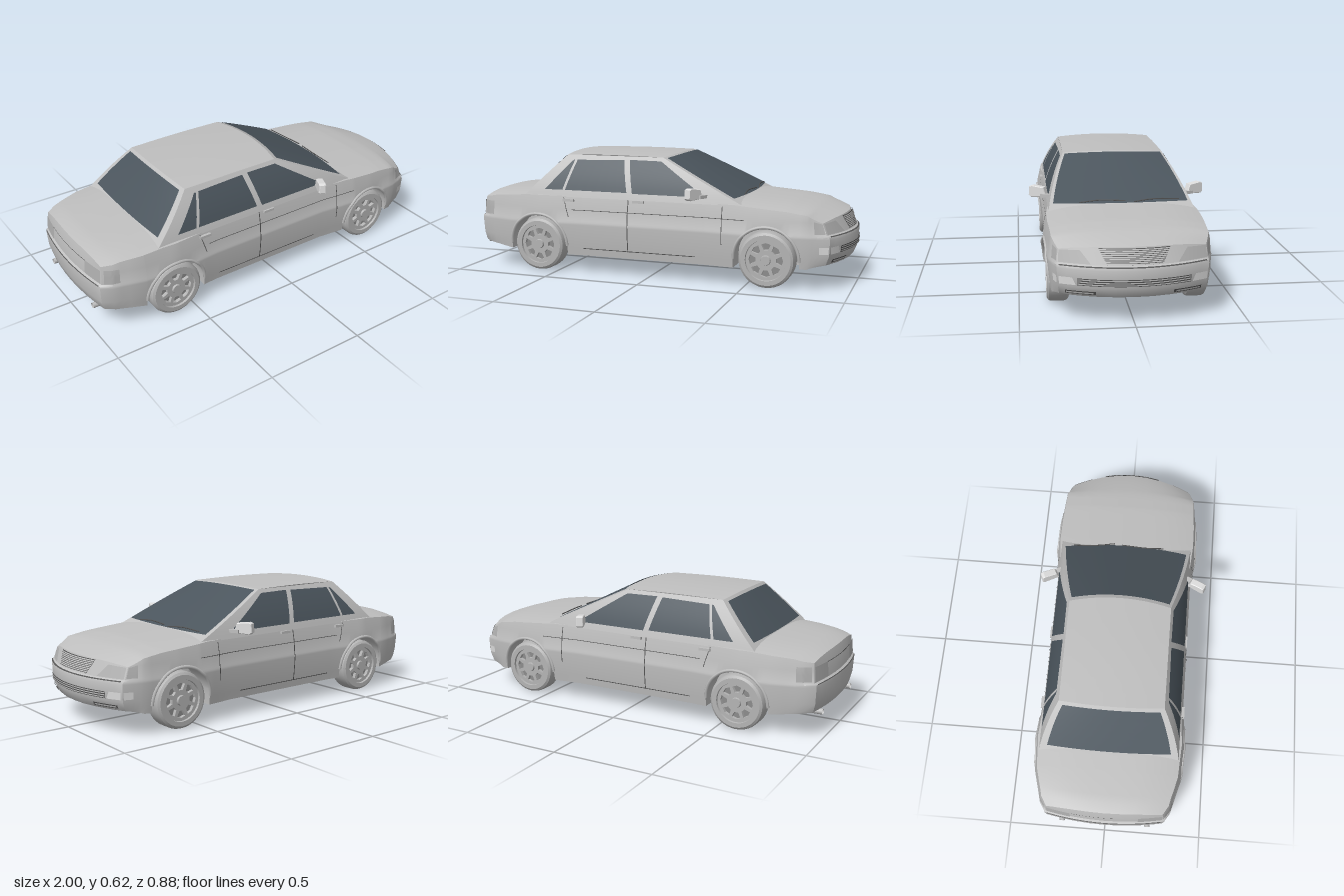
import * as THREE from 'three';
import { mergeGeometries, toCreasedNormals } from 'three/addons/utils/BufferGeometryUtils.js';

const mat = (name, color) => new THREE.MeshStandardMaterial({ name, color, side: THREE.DoubleSide });
const lerp = THREE.MathUtils.lerp, clamp = THREE.MathUtils.clamp;
const V = (x, y, z) => new THREE.Vector3(x, y, z);

// piecewise-linear lookup in [x, value] pairs
function look(tab, x) {
  if (x <= tab[0][0]) return tab[0][1];
  for (let i = 1; i < tab.length; i++) {
    const [x0, a] = tab[i - 1], [x1, b] = tab[i];
    if (x <= x1) return lerp(a, b, (x - x0) / (x1 - x0));
  }
  return tab[tab.length - 1][1];
}

// surface through a grid of points f(i, j)
function grid(nu, nv, f) {
  const pos = [], index = [];
  for (let i = 0; i <= nu; i++) for (let j = 0; j <= nv; j++) pos.push(...f(i, j).toArray());
  for (let i = 0; i < nu; i++) for (let j = 0; j < nv; j++) {
    const a = i * (nv + 1) + j, b = a + nv + 1;
    index.push(a, b, b + 1, a, b + 1, a + 1);
  }
  const g = new THREE.BufferGeometry();
  g.setAttribute('position', new THREE.Float32BufferAttribute(pos, 3));
  g.setIndex(index);
  return g.toNonIndexed();
}
const crease = (g, angle = 0.6) => toCreasedNormals(g, angle);

// body tables along the length: half width, floor, shoulder and top heights
const WIDTH = [[-1, .3], [-.95, .33], [-.85, .352], [-.765, .372], [-.6, .385], [-.435, .372], [-.36, .366],
  [.3, .366], [.42, .379], [.5, .385], [.62, .382], [.8, .367], [.9, .354], [1, .335]];
const FLOOR = [[-1, .125], [-.765, .105], [-.435, .09], [.44, .09], [.8, .105], [1, .125]];
const SHOULDER = [[-1, .362], [-.9, .378], [-.66, .395], [.45, .395], [.7, .375], [.9, .345], [1, .325]];
const TOP = [[-1, .385], [-.95, .4], [-.66, .422], [.45, .42], [.7, .402], [.85, .38], [.95, .36], [1, .345]];
const BULGE = [[.09, .955], [.13, .97], [.17, .985], [.25, 1], [.262, 1], [.27, .99], [.33, .978], [.4, .938]];
const NOSE = [[.1, .94], [.13, .97], [.17, .987], [.25, .993], [.262, .988], [.27, .975], [.345, .945], [.4, .92]];
const TAIL = [[.1, -.96], [.13, -.985], [.17, -.995], [.25, -1], [.262, -.998], [.27, -.988], [.36, -.98], [.4, -.96]];
const ROWS = [.13, .17, .25, .262, .27, .33], COLS = [0, .25, .5, .7, .88, 1];
const WHEEL_X = [-.6, .605], HUB = .138, ARCH = .16;

const noseX = (y, z) => look(NOSE, y) - .8 * z * z;
const tailX = (y, z) => look(TAIL, y) + .35 * z * z;
const bodyPoint = (s, y, z) => {
  const a = Math.abs(z);
  if (s > .8) return V(lerp(.8, noseX(y, a), (s - .8) / .2), y, z);
  if (s < -.8) return V(lerp(-.8, tailX(y, a), (-s - .8) / .2), y, z);
  return V(s, y, z);
};
const sideZ = (s, y) => look(WIDTH, s) * look(BULGE, y);
function sillY(s) {
  const f = look(FLOOR, s);
  for (const c of WHEEL_X) {
    const d = Math.abs(s - c);
    if (d <= ARCH + 1e-6) return Math.max(f, HUB + Math.sqrt(Math.max(0, ARCH * ARCH - d * d)));
  }
  return f;
}
const rowY = (s, k) => {
  const a = sillY(s), sh = look(SHOULDER, s);
  return k === 0 ? a : k > ROWS.length ? sh : clamp(ROWS[k - 1], a, sh);
};
const topY = (s, t) => lerp(look(SHOULDER, s), look(TOP, s), 1 - Math.abs(t) ** 3);

// lower body: loft with wheel arches, closed by a nose and a tail
function bodyGeometry() {
  const st = new Set([WIDTH, FLOOR, SHOULDER, TOP].flatMap(t => t.map(p => p[0])));
  for (const c of WHEEL_X) {
    for (let i = 0; i <= 16; i++) st.add(c + ARCH * Math.cos(i * Math.PI / 16));
    st.add(c - ARCH - .0005).add(c + ARCH + .0005);
  }
  const S = [...st].sort((a, b) => a - b), last = ROWS.length + 1;
  const rings = S.map(s => {
    const f = look(FLOOR, s), a = sillY(s), w = sideZ(s, a), half = [];
    for (const t of COLS) {
      half.push([t <= .7 ? f : a, t * w]);
      if (t === .7) half.push([a, t * w]);
    }
    for (let k = 1; k <= last; k++) half.push([rowY(s, k), sideZ(s, rowY(s, k))]);
    const w2 = sideZ(s, look(SHOULDER, s));
    for (const t of [...COLS].reverse().slice(1)) half.push([topY(s, t), t * w2]);
    const other = half.slice(0, -1).reverse().map(([y, z]) => [y, -z]);
    return [...half, ...other].map(([y, z]) => bodyPoint(s, y, z));
  });
  const T = [...COLS.slice(1).reverse().map(t => -t), ...COLS];
  const cap = (s, dir) => grid(last, T.length - 1, (k, c) => {
    const t = T[c] * dir, y = rowY(s, k);
    return bodyPoint(s, k === last ? topY(s, t) : y, t * sideZ(s, y));
  });
  const shell = grid(S.length - 1, rings[0].length - 1, (i, j) => rings[i][j]);
  return crease(mergeGeometries([shell, cap(1, 1), cap(-1, -1)]));
}

// cabin surfaces
const CABIN = { y0: .39, y1: .6, front: [.49, .05], rear: [-.685, -.475] };
const cabinZ = y => { const d = y - CABIN.y0; return .352 - .25 * d - .94 * d * d; };
const cabinEnd = (edge, bow) => (u, v) => {
  const y = lerp(CABIN.y0, CABIN.y1, v);
  return V(lerp(edge[0], edge[1], v) + bow * (1 - u * u), y + .012 * v * (1 - u * u), u * cabinZ(y));
};
const screen = cabinEnd(CABIN.front, .03), backlight = cabinEnd(CABIN.rear, -.015);

export function createModel() {
  const car = new THREE.Group();
  car.name = 'sedan';
  const paint = mat('silver paint', 0xbfbfbf), glass = mat('dark glass', 0x4b555d), trim = mat('dark trim', 0x555555),
    lamp = mat('lamp lens', 0xb0b0b0), clear = mat('pale lens', 0xdedede), wheelGrey = mat('wheel grey', 0xb4b4b4),
    recess = mat('wheel recess', 0x8c8c8c);
  const add = (name, geo, m, parent = car) => {
    const mesh = new THREE.Mesh(geo, m);
    mesh.name = name;
    parent.add(mesh);
    return mesh;
  };
  // thin panel: bilinear quad [bl, br, tr, tl] laid on a surface map(a, b)
  const panel = (name, m, q, map, nu = 8, nv = 4) => add(name, crease(grid(nu, nv, (i, j) => {
    const u = i / nu, v = j / nv;
    return map(...[0, 1].map(k => lerp(lerp(q[0][k], q[1][k], u), lerp(q[3][k], q[2][k], u), v)));
  })), m);
  const rect = (a0, b0, a1, b1) => [[a0, b0], [a1, b0], [a1, b1], [a0, b1]];

  add('body', bodyGeometry(), paint);

  // cabin shell
  const { y0, y1, front, rear } = CABIN;
  const shell = [screen, backlight].map(f => grid(12, 6, (i, j) => f(i / 6 - 1, j / 6)));
  for (const s of [1, -1]) shell.push(grid(8, 6, (i, j) => {
    const y = lerp(y0, y1, j / 6);
    return V(lerp(lerp(rear[0], rear[1], j / 6), lerp(front[0], front[1], j / 6), i / 8), y, s * cabinZ(y));
  }));
  shell.push(grid(12, 8, (i, j) => {
    const u = i / 6 - 1, v = j / 8, b = 1 - u * u;
    return V(lerp(rear[1] - .015 * b, front[1] + .03 * b, v), y1 + .012 * b + .004 * Math.sin(Math.PI * v), u * cabinZ(y1));
  }));
  shell.forEach((g, i) => add(['frontPillars', 'rearPillars', 'leftCabinSide', 'rightCabinSide', 'roof'][i], crease(g), paint));

  // front and rear glass
  panel('windscreen', glass, rect(-.95, .13, .95, .965), (u, v) => screen(u, v).add(V(.002, .004, 0)), 12, 6);
  panel('rearWindow', glass, rect(-.9, .15, .9, .94), (u, v) => backlight(u, v).add(V(-.003, .003, 0)), 12, 6);

  // nose and tail details
  const nose = (y, z) => V(noseX(y, z) + .004, y, z), bars = (y, z) => V(noseX(y, z) + .007, y, z);
  const tail = (y, z) => V(tailX(y, z) - .004, y, z);
  const swap = f => (a, b) => f(b, a);
  panel('grille', trim, [[-.122, .273], [.122, .273], [.156, .34], [-.156, .34]], swap(nose));
  for (let i = 0; i < 9; i++) {
    const y = .274 + i * .0073, w = .124 + i * .0038;
    panel('grilleBar', paint, rect(-w, y, w, y + .0048), swap(bars), 8, 1);
  }
  panel('bumperGrille', trim, rect(-.25, .18, .25, .212), swap(nose), 12, 2);
  for (let i = 0; i < 3; i++)
    panel('bumperBar', paint, rect(-.25, .184 + i * .01, .25, .189 + i * .01), swap(bars), 12, 1);
  panel('bumperLine', trim, rect(-.325, .262, .325, .266), swap(nose), 16, 1);
  panel('tailBumperLine', trim, rect(-.29, .262, .29, .265), swap(tail), 16, 1);
  panel('bootSeam', trim, rect(-.17, .342, .17, .345), swap(tail), 8, 1);

  // wiper arms
  for (const z of [-.06, .2]) {
    const c = new THREE.CatmullRomCurve3([[-.0, .13], [-.09, .165], [-.22, .15]].map(([dz, v]) => {
      const u = (z + dz) / .34;
      return screen(u, v).add(V(.008, .01, 0));
    }));
    add('wiper', new THREE.TubeGeometry(c, 8, .003, 5), trim);
  }

  for (const s of [1, -1]) {
    const side = s > 0 ? 'left' : 'right';
    // lamps and bumper slots
    panel('headlight', lamp, [[s * .19, .273], [s * .328, .273], [s * .324, .323], [s * .235, .328]], swap(nose));
    panel('indicator', clear, [[s * .255, .18], [s * .325, .18], [s * .328, .214], [s * .27, .214]], swap(nose));
    panel('lowerSlot', trim, rect(s * .17, .136, s * .3, .152), swap(nose));
    panel('slotBar', paint, rect(s * .18, .141, s * .295, .148), swap(bars), 8, 1);
    panel('tailLight', lamp, rect(s * .17, .275, s * .29, .345), swap(tail));
    const skin = (x, y) => bodyPoint(x, y, s * sideZ(x, y)).add(V(0, 0, s * .003));
    panel('headlightWrap', lamp, [[.89, .275], [.995, .275], [.995, .322], [.9, .333]], skin);
    panel('indicatorWrap', clear, rect(.92, .18, .995, .214), skin);
    panel('tailLightWrap', lamp, rect(-.99, .275, -.91, .345), skin);

    // side windows
    const cabin = (x, y) => V(x, y, s * (cabinZ(y) + .003));
    panel('rearDoorWindow', glass, [[-.57, .425], [-.115, .425], [-.155, .582], [-.435, .575]], cabin, 8, 6);
    panel('frontDoorWindow', glass, [[-.085, .422], [.3, .422], [.045, .582], [-.125, .584]], cabin, 8, 6);
    panel('windowDivider', paint, [[-.47, .425], [-.455, .425], [-.412, .577], [-.426, .577]],
      (x, y) => V(x, y, s * (cabinZ(y) + .005)), 1, 6);

    // door seams and side crease
    panel('doorSeam', trim, rect(-.107, .125, -.102, .395), skin, 1, 30);
    panel('frontDoorSeam', trim, rect(.385, .2, .389, .385), skin, 1, 20);
    panel('rearDoorSeam', trim, [[-.43, .29], [-.426, .29], [-.456, .39], [-.46, .39]], skin, 1, 16);
    panel('sideCrease', trim, rect(-.41, .325, .5, .328), skin, 40, 1);
    panel('sillLine', trim, rect(-.35, .126, .25, .13), skin, 20, 1);

    // handles
    for (const [x, y] of [[-.43, .375], [-.05, .383]])
      add('doorHandle', new THREE.BoxGeometry(.06, .013, .014), paint).position.set(x, y, s * (sideZ(x, y) + .006));

    // mirror
    const mirror = new THREE.Group();
    mirror.name = side + 'Mirror';
    const prof = new THREE.Shape([[-.045, -.022], [.035, -.026], [.045, -.018], [.042, .022], [.03, .027], [-.03, .02]]
      .map(p => new THREE.Vector2(...p)));
    const head = new THREE.ExtrudeGeometry(prof, { depth: .028, bevelEnabled: true, bevelSize: .003, bevelThickness: .004, bevelSegments: 1 });
    add('mirrorHead', head.rotateY(-Math.PI / 2), clear, mirror);
    add('mirrorArm', new THREE.BoxGeometry(.025, .016, .05), paint, mirror).position.set(0, -.016, -.045);
    mirror.position.set(.265, .443, .397);
    mirror.rotation.y = -.45;
    const holder = new THREE.Group();
    holder.name = side + 'MirrorMount';
    holder.scale.z = s;
    holder.add(mirror);
    car.add(holder);

    // exhaust
    const pipe = add('exhaustPipe', new THREE.CylinderGeometry(.014, .014, .16, 12, 1, true), paint);
    pipe.rotation.z = Math.PI / 2;
    pipe.position.set(-.9, .112, s * .22);

    // wheels and arch lips
    for (const cx of WHEEL_X) {
      const lip = [];
      for (let i = 0; i <= 16; i++) {
        const a = i * Math.PI / 16, x = cx + ARCH * Math.cos(a), y = HUB + ARCH * Math.sin(a);
        lip.push(V(x, y, s * sideZ(x, y)));
      }
      add('archLip', new THREE.TubeGeometry(new THREE.CatmullRomCurve3(lip), 32, .008, 6), paint);

      const wheel = new THREE.Group();
      wheel.name = 'wheel';
      const tyre = [[.098, .035], [.1, .05], [.122, .05], [.133, .042], [.137, .03], [.137, -.03], [.133, -.042], [.122, -.05], [0, -.05]]
        .map(p => new THREE.Vector2(...p));
      add('tyre', crease(new THREE.LatheGeometry(tyre, 40).rotateX(Math.PI / 2)), wheelGrey, wheel);
      add('rimBack', new THREE.CircleGeometry(.1, 32), recess, wheel).position.z = .02;
      const disc = new THREE.Shape().absarc(0, 0, .1, 0, Math.PI * 2);
      for (let i = 0; i < 8; i++) {
        const a = i * Math.PI / 4;
        const pts = [[.05, -.2], [.05, .2], [.08, .3], [.084, 0], [.08, -.3]]
          .map(([r, d]) => new THREE.Vector2(r * Math.cos(a + d), r * Math.sin(a + d)));
        disc.holes.push(new THREE.Path(pts));
      }
      const rim = new THREE.ExtrudeGeometry(disc, { depth: .018, bevelEnabled: false, curveSegments: 32 });
      add('rim', rim, wheelGrey, wheel).position.z = .021;
      const hub = add('hubCap', new THREE.CylinderGeometry(.022, .026, .012, 16), wheelGrey, wheel);
      hub.rotation.x = Math.PI / 2;
      hub.position.z = .042;
      wheel.position.set(cx, .137, s * .321);
      if (s < 0) wheel.rotation.y = Math.PI;
      car.add(wheel);
    }
  }
  return car;
}
